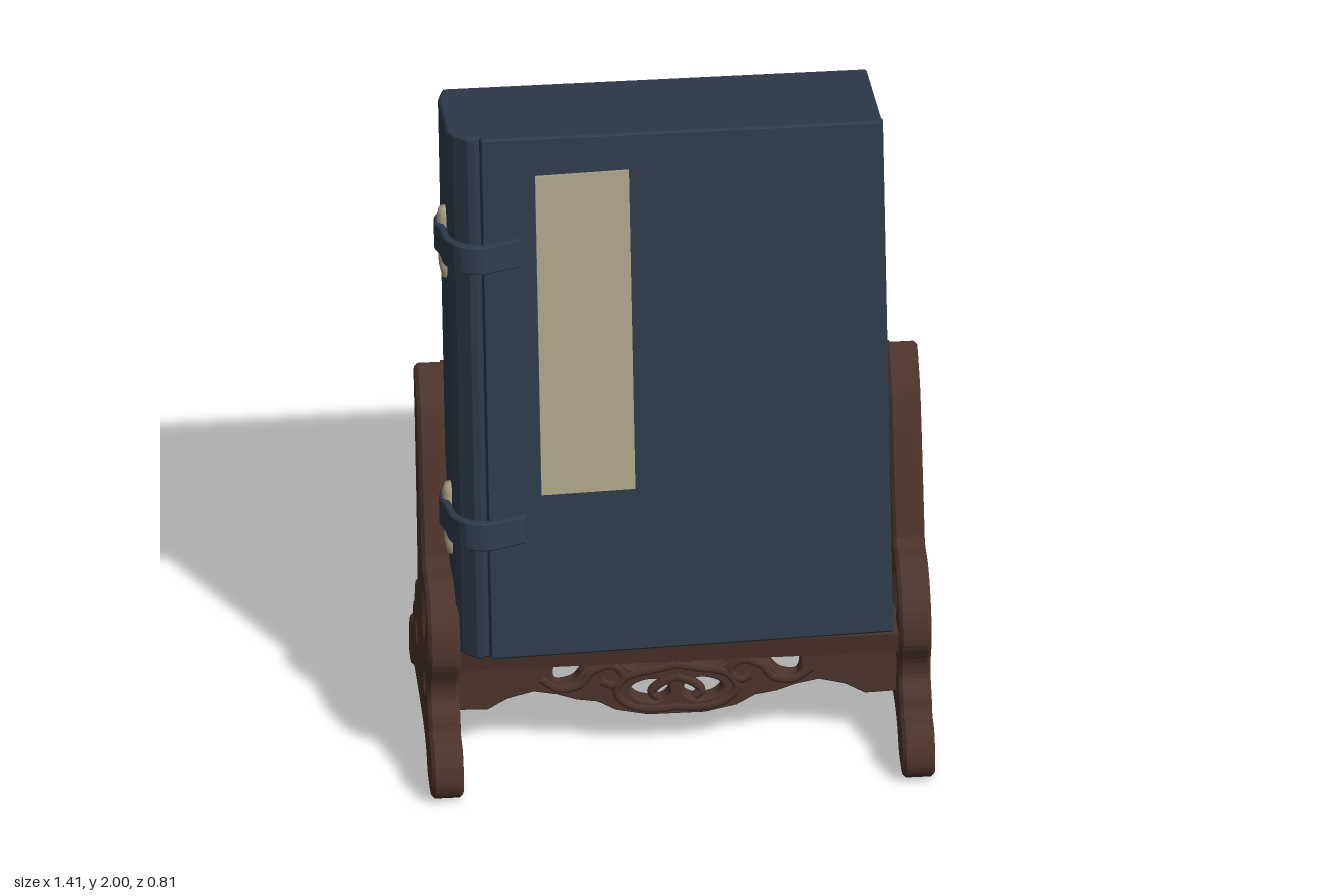
import * as THREE from 'three';

const wood = new THREE.MeshStandardMaterial({ color: 0x4c342b, name: 'dark wood' });
const cloth = new THREE.MeshStandardMaterial({ color: 0x2e3a4a, name: 'navy cloth' });
const paper = new THREE.MeshStandardMaterial({ color: 0xaca388, name: 'cream paper' });

function mesh(name, geometry, material, parent, x = 0, y = 0, z = 0) {
  const m = new THREE.Mesh(geometry, material);
  m.name = name;
  m.position.set(x, y, z);
  parent.add(m);
  return m;
}

const box = (w, h, d) => new THREE.BoxGeometry(w, h, d);
const toV2 = (pts) => pts.map(([x, y]) => new THREE.Vector2(x, y));

// Rounded closed outline through a few points
function smooth(pts, steps = 4) {
  const curve = new THREE.CatmullRomCurve3(pts.map(([x, y]) => new THREE.Vector3(x, y, 0)), true, 'centripetal');
  return curve.getPoints(pts.length * steps).slice(0, -1).map((p) => new THREE.Vector2(p.x, p.y));
}

// Plate with bevelled edges whose total thickness is depth
function plate(outline, holes, depth, bevel) {
  const shape = new THREE.Shape(outline);
  holes.forEach((h) => shape.holes.push(new THREE.Path(h)));
  const g = new THREE.ExtrudeGeometry(shape, {
    depth: depth - 2 * bevel, bevelEnabled: bevel > 0, bevelThickness: bevel,
    bevelSize: bevel, bevelOffset: -bevel, bevelSegments: 1,
  });
  return g.translate(0, 0, -(depth - 2 * bevel) / 2);
}

const ring = (x, y, r) => Array.from({ length: 10 }, (_, i) => {
  const a = (i / 10) * Math.PI * 2;
  return new THREE.Vector2(x + r * Math.cos(a), y + r * Math.sin(a));
});

function buildStand() {
  const stand = new THREE.Group();
  stand.name = 'stand';

  // Side supports: scrolled foot with a leaning arm, drawn as (z, y)
  const side = smooth([
    [0.24, 0.012], [0.37, 0.012], [0.4, 0.06], [0.39, 0.125], [0.355, 0.168], [0.3, 0.178], [0.28, 0.22],
    [0.245, 0.26], [0.245, 0.31], [0.278, 0.39], [0.27, 0.47], [0.22, 0.545], [0.14, 0.586], [0.05, 0.59],
    [0.03, 0.64], [-0.09, 0.96], [-0.12, 1.01], [-0.2, 1.075], [-0.225, 1.08], [-0.245, 1.05], [-0.205, 0.91],
    [-0.11, 0.45], [-0.12, 0.42], [-0.16, 0.41], [-0.2, 0.36], [-0.215, 0.305], [-0.255, 0.275], [-0.265, 0.19],
    [-0.34, 0.175], [-0.385, 0.135], [-0.405, 0.085], [-0.4, 0.015], [-0.315, 0.012], [-0.275, 0.06],
    [-0.18, 0.075], [0.15, 0.075], [0.205, 0.045],
  ]);
  const sideHoles = [
    smooth([[0.17, 0.5], [0.12, 0.525], [0.06, 0.515], [0.075, 0.4], [0.11, 0.39], [0.155, 0.44]]),
    ring(-0.14, 0.25, 0.037), ring(0.13, 0.25, 0.032),
  ];
  const sideGeo = plate(side, sideHoles, 0.09, 0.01).rotateY(-Math.PI / 2);
  for (const s of [-1, 1]) mesh(s > 0 ? 'leftSupport' : 'rightSupport', sideGeo, wood, stand, s * 0.661);

  // Ledge under the book
  const ledge = plate(toV2([[0.235, 0.345], [0.245, 0.41], [-0.11, 0.37], [-0.11, 0.315], [0.1, 0.335]]), [], 1.25, 0.006);
  mesh('ledge', ledge.rotateY(-Math.PI / 2), wood, stand);

  // Leaning back frame
  const frame = new THREE.Group();
  frame.name = 'backFrame';
  frame.position.set(0, 0.39, -0.108);
  frame.rotation.x = -0.18;
  stand.add(frame);
  mesh('topRail', box(1.26, 0.06, 0.045), wood, frame, 0, 0.66, -0.005);
  mesh('bottomRail', box(1.26, 0.06, 0.045), wood, frame, 0, 0.0, -0.005);
  for (const s of [-1, 1]) mesh('framePost', box(0.07, 0.68, 0.045), wood, frame, s * 0.59, 0.33, -0.005);

  // Openwork apron, mirrored about the middle
  const half = [
    [0.62, 0.345], [0.62, 0.158], [0.53, 0.155], [0.475, 0.188], [0.4, 0.208], [0.335, 0.195],
    [0.28, 0.175], [0.22, 0.165], [0.17, 0.135], [0.08, 0.115],
  ];
  const mirror = (pts) => pts.map(([x, y]) => [-x, y]).reverse();
  const crescent = [[0.34, 0.3], [0.27, 0.318], [0.2, 0.318], [0.21, 0.295], [0.26, 0.27], [0.29, 0.235], [0.34, 0.228]];
  const topSlot = [[0.16, 0.312], [0.03, 0.312], [0.05, 0.285], [0.13, 0.272]];
  const eyelet = [[0.13, 0.205], [0.09, 0.23], [0.035, 0.225], [0.02, 0.185], [0.05, 0.16], [0.11, 0.17]];
  const holes = [crescent, topSlot, eyelet].flatMap((h) => [smooth(h), smooth(mirror(h))]);
  mesh('apron', plate(toV2([...half, ...mirror(half)]), holes, 0.05, 0.005), wood, stand, 0, 0, 0.125);

  // Carved scrolls in relief on the apron
  const scrolls = [
    [[0.38, 0.25], [0.33, 0.215], [0.27, 0.225], [0.24, 0.265], [0.18, 0.285], [0.15, 0.25], [0.18, 0.22], [0.21, 0.235]],
    [[0, 0.28], [0.06, 0.265], [0.14, 0.245], [0.17, 0.195], [0.13, 0.15], [0.06, 0.135], [0, 0.14]],
    [[0, 0.24], [0.05, 0.215], [0.07, 0.19], [0.05, 0.17]],
  ];
  for (const s of [-1, 1]) for (const pts of scrolls) {
    const path = new THREE.CatmullRomCurve3(pts.map(([x, y]) => new THREE.Vector3(s * x, y, 0.145)));
    mesh('carvedScroll', new THREE.TubeGeometry(path, 24, 0.013, 6), wood, stand);
  }
  return stand;
}

function buildBook() {
  // Leans back and turns a little; local origin is the bottom of the front cover
  const book = new THREE.Group();
  book.name = 'bookCase';
  book.position.set(0, 0.418, 0.275);
  book.rotation.set(-0.146, 0.045, 0, 'YXZ');

  // Case from its (x, z) section, with a chamfered, grooved spine edge
  const section = [
    [0.6, 0], [0.6, -0.36], [-0.595, -0.36], [-0.615, -0.3], [-0.62, -0.075], [-0.605, -0.05],
    [-0.57, -0.012], [-0.553, -0.006], [-0.55, -0.02], [-0.535, -0.02], [-0.53, 0],
  ];
  const height = 1.6;
  const body = plate(toV2(section.map(([x, z]) => [x, -z])), [], height, 0.006);
  body.rotateX(-Math.PI / 2).translate(0, height / 2, 0);
  const p = body.attributes.position;
  for (let i = 0; i < p.count; i++) {
    // the top edge falls slightly towards the model's left
    if (p.getY(i) > 1) p.setY(i, p.getY(i) - 0.024 * (p.getX(i) + 0.53));
  }
  body.computeVertexNormals();
  mesh('case', body, cloth, book);

  // Front cover edge lines
  mesh('coverEdge', box(0.008, 1.56, 0.012), cloth, book, 0.6, 0.785, -0.03);
  mesh('titleLabel', box(0.265, 0.98, 0.008), paper, book, -0.25, 0.99, 0.004);

  // Strap loops round the spine edge, each holding a toggle
  const outer = [
    [-0.43, 0.012], [-0.48, 0.03], [-0.54, 0.05], [-0.6, 0.03], [-0.637, -0.03],
    [-0.642, -0.1], [-0.652, -0.15], [-0.64, -0.2], [-0.615, -0.22],
  ];
  const inner = [
    [-0.61, -0.2], [-0.625, -0.17], [-0.622, -0.1], [-0.616, -0.04], [-0.585, 0.008], [-0.54, 0.025], [-0.48, 0.006], [-0.43, -0.005],
  ];
  const strapGeo = plate(smooth([...outer, ...inner].map(([x, z]) => [x, -z]), 3), [], 0.085, 0.004);
  strapGeo.rotateX(-Math.PI / 2);
  const toggleGeo = new THREE.LatheGeometry(toV2([
    [0, -0.12], [0.014, -0.117], [0.022, -0.08], [0.024, 0], [0.026, 0.07], [0.018, 0.096], [0, 0.1],
  ]), 10);
  for (const y of [1.25, 0.4]) {
    mesh('strap', strapGeo, cloth, book, 0, y, 0);
    mesh('strapTab', box(0.09, 0.065, 0.016), cloth, book, -0.475, y, 0.006);
    mesh('toggle', toggleGeo, paper, book, -0.618, y - 0.01, -0.15);
  }
  return book;
}

export function createModel() {
  const model = new THREE.Group();
  model.name = 'bookOnStand';
  model.add(buildStand(), buildBook());
  return model;
}
